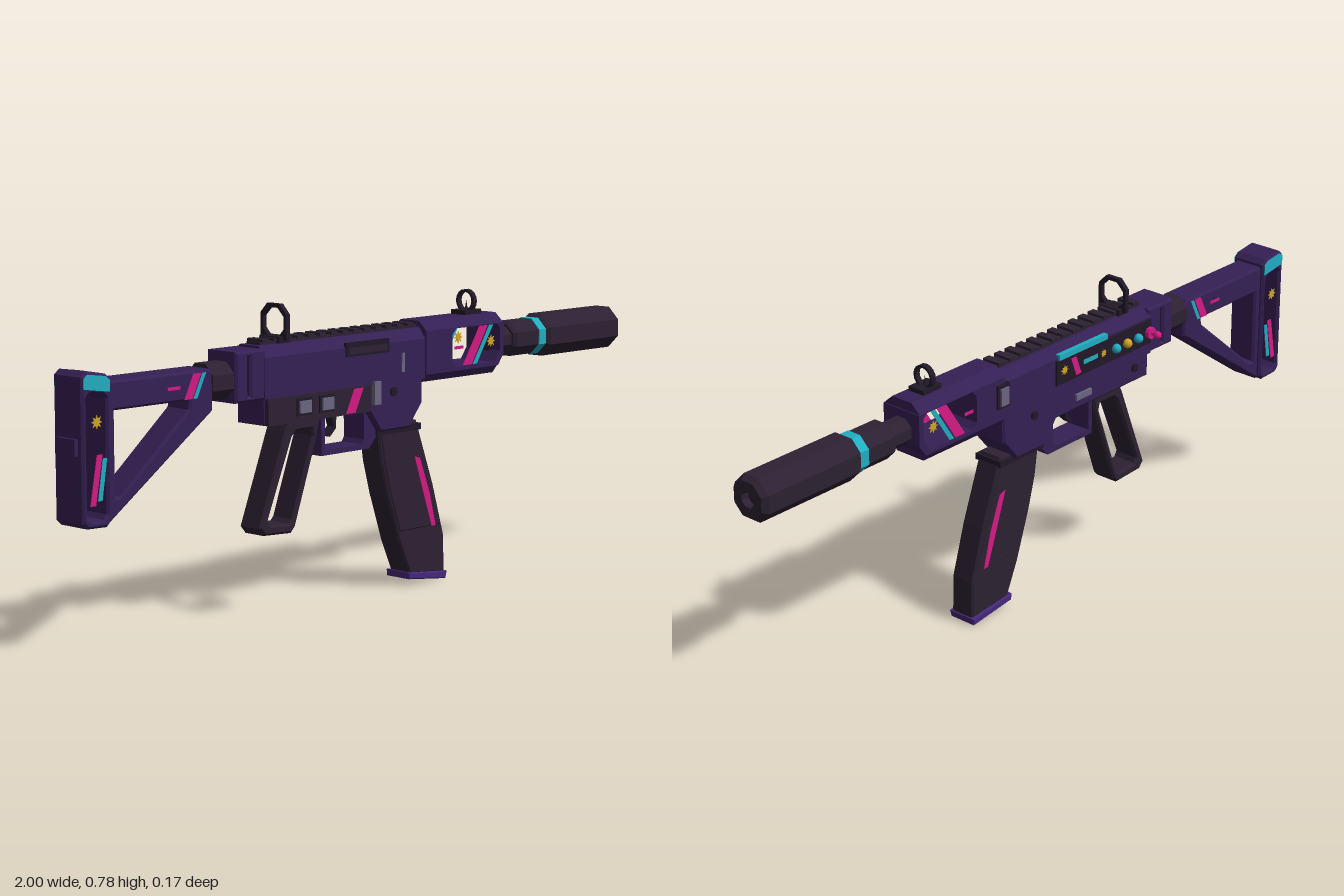
import * as THREE from 'three';

const mat = (name, color) => {
  const m = new THREE.MeshStandardMaterial({ color });
  m.name = name;
  return m;
};

export function createModel() {
  const purple = mat('purple', 0x352054), violet = mat('violet trim', 0x45287a);
  const dark = mat('dark polymer', 0x2c2132), black = mat('black', 0x211928);
  const teal = mat('teal', 0x20adc2), pink = mat('pink', 0xd41a84);
  const yellow = mat('yellow', 0xd0a526), grey = mat('grey', 0x6b6682);

  const root = new THREE.Group();
  root.name = 'toyBlaster';
  const body = new THREE.Group();
  body.name = 'body';
  body.position.z = 0.016; // side knobs make the outline uneven in z
  root.add(body);

  // ---- helpers ----
  const add = (name, geo, material, smooth = false) => {
    if (!smooth) {
      geo = geo.index ? geo.toNonIndexed() : geo;
      geo.computeVertexNormals();
    }
    const m = new THREE.Mesh(geo, material);
    m.name = name;
    body.add(m);
    return m;
  };
  // outlines run anticlockwise and holes clockwise, so all walls face outward
  const vecs = (pts, clockwise) => {
    const v = pts.map(([x, y]) => new THREE.Vector2(x, y));
    return THREE.ShapeUtils.isClockWise(v) === clockwise ? v : v.reverse();
  };
  const shapeOf = (pts, holes) => {
    const s = new THREE.Shape(vecs(pts, false));
    holes.forEach((h) => s.holes.push(new THREE.Path(vecs(h, true))));
    return s;
  };
  // side outline (x, y) given a width in z, with chamfered edges
  const slab = (name, pts, half, material, bevel = 0, holes = [], zc = 0) => {
    const g = new THREE.ExtrudeGeometry(shapeOf(pts, holes), {
      depth: 2 * (half - bevel), bevelEnabled: bevel > 0, bevelThickness: bevel,
      bevelSize: bevel, bevelOffset: -bevel, bevelSegments: 1,
    });
    g.translate(0, 0, zc - half + bevel);
    return add(name, g, material);
  };
  // cross-section (z, y) swept from x0 to x1
  const prism = (name, pts, x0, x1, material, holes = []) => {
    const g = new THREE.ExtrudeGeometry(shapeOf(pts, holes), { depth: x1 - x0, bevelEnabled: false });
    g.rotateY(Math.PI / 2).translate(x0, 0, 0);
    return add(name, g, material);
  };
  const box = (name, x0, x1, y0, y1, z0, z1, material) =>
    add(name, new THREE.BoxGeometry(x1 - x0, y1 - y0, z1 - z0)
      .translate((x0 + x1) / 2, (y0 + y1) / 2, (z0 + z1) / 2), material);
  // eight-sided turned part along x; profile is [x, flat-to-centre radius]
  const turned = (name, profile, material, y = 0.62) => {
    const pts = profile.map(([x, r]) => new THREE.Vector2(r / Math.cos(Math.PI / 8), x));
    const g = new THREE.LatheGeometry(pts, 8);
    g.rotateY(Math.PI / 8).rotateZ(-Math.PI / 2).translate(0, y, 0);
    return add(name, g, material);
  };
  // thin painted plate, on both sides or on one
  const decal = (name, pts, face, material, sides = [1, -1]) =>
    sides.forEach((s) => slab(name, pts, 0.001, material, 0, [], s * (face + 0.0004)));
  const slant = (x, y0, y1, lean, w) => [[x, y0], [x + w, y0], [x + w + lean, y1], [x + lean, y1]];
  const star = (cx, cy, r) => Array.from({ length: 16 }, (_, i) => {
    const a = (i * Math.PI) / 8, k = i % 2 ? r * 0.5 : r;
    return [cx + k * Math.cos(a), cy + k * Math.sin(a)];
  });

  // ---- barrel and muzzle tube ----
  turned('barrel', [[0.47, 0], [0.47, 0.034], [0.57, 0.034], [0.57, 0]], dark);
  turned('barrelCollar', [[0.55, 0], [0.55, 0.04], [0.56, 0.047], [0.65, 0.047], [0.65, 0]], dark);
  turned('muzzleRing', [[0.65, 0], [0.65, 0.049], [0.678, 0.049], [0.678, 0]], teal);
  turned('muzzleTube', [[0.678, 0], [0.678, 0.049], [0.69, 0.057], [0.985, 0.057], [1, 0.046], [1, 0.02], [0.98, 0.018], [0.98, 0]], dark);

  // ---- hand guard with a window through it ----
  slab('handGuard', [[0.18, 0.56], [0.465, 0.56], [0.488, 0.59], [0.488, 0.675], [0.18, 0.675]], 0.06, purple, 0, [
    [[0.282, 0.585], [0.297, 0.57], [0.45, 0.57], [0.473, 0.6], [0.473, 0.66], [0.46, 0.673], [0.297, 0.673], [0.282, 0.658]],
  ]);
  prism('handGuardTop', [[-0.06, 0.675], [0.06, 0.675], [0.032, 0.7], [-0.032, 0.7]], 0.18, 0.485, purple);
  prism('handGuardBottom', [[-0.045, 0.54], [0.045, 0.54], [0.06, 0.56], [-0.06, 0.56]], 0.18, 0.46, purple);
  decal('guardStripe', slant(0.325, 0.572, 0.672, 0.065, 0.034), 0.058, pink);
  decal('guardThinStripe', slant(0.365, 0.572, 0.672, 0.065, 0.015), 0.058, teal);
  decal('guardStar', star(0.437, 0.628, 0.017), 0.058, yellow);
  decal('guardDash', [[0.293, 0.617], [0.325, 0.617], [0.325, 0.625], [0.293, 0.625]], 0.058, pink);

  // ---- upper receiver and rail ----
  prism('upperReceiver', [[-0.055, 0.55], [0.055, 0.55], [0.055, 0.655], [0.034, 0.683], [-0.034, 0.683], [-0.055, 0.655]], -0.405, 0.18, purple);
  slab('rearReceiver', [[-0.5, 0.55], [-0.395, 0.55], [-0.395, 0.677], [-0.5, 0.677]], 0.053, purple, 0.006,
    [[[-0.457, 0.565], [-0.451, 0.565], [-0.451, 0.66], [-0.457, 0.66]]]);
  box('rail', -0.39, 0.18, 0.68, 0.69, -0.024, 0.024, dark);
  for (let i = 0; i < 14; i++) {
    const x = -0.385 + i * 0.0405;
    box('railTooth', x, x + 0.022, 0.688, 0.697, -0.027, 0.027, dark);
  }
  box('ejectionPort', -0.12, 0.04, 0.632, 0.668, 0.05, 0.059, black);
  box('portCover', -0.11, 0.03, 0.638, 0.655, 0.055, 0.061, dark);
  box('receiverMark', 0.09, 0.1, 0.575, 0.625, 0.05, 0.057, grey);

  // ---- lower receiver, magazine well and trigger ----
  slab('lowerReceiver', [[-0.4, 0.56], [-0.4, 0.485], [-0.03, 0.485], [0.015, 0.425], [0.125, 0.425], [0.175, 0.485], [0.175, 0.56]], 0.052, purple, 0.006);
  slab('triggerGuard', [[-0.188, 0.495], [-0.188, 0.384], [-0.012, 0.384], [0.03, 0.43], [0.03, 0.495]], 0.036, purple, 0,
    [[[-0.174, 0.486], [-0.174, 0.398], [-0.04, 0.398], [-0.032, 0.41], [-0.032, 0.486]]]);
  slab('trigger', [[-0.13, 0.49], [-0.118, 0.45], [-0.142, 0.43], [-0.132, 0.425], [-0.11, 0.445], [-0.108, 0.49]], 0.012, black);
  box('sidePlate', -0.4, -0.033, 0.485, 0.553, 0.05, 0.062, dark);
  [-0.295, -0.215].forEach((x) => {
    box('buttonBase', x - 0.007, x + 0.047, 0.5, 0.545, 0.06, 0.065, black);
    box('button', x, x + 0.04, 0.507, 0.538, 0.06, 0.07, grey);
  });
  decal('plateStripe', slant(-0.125, 0.488, 0.55, 0.03, 0.034), 0.062, pink, [1]);
  box('magazineCatch', -0.02, 0.005, 0.5, 0.56, 0.05, 0.064, grey);
  box('rearCatchFrame', 0.165, 0.21, 0.595, 0.66, -0.066, -0.055, black);
  box('rearCatch', 0.173, 0.202, 0.603, 0.65, -0.071, -0.06, grey);
  box('selectorLever', -0.16, -0.1, 0.513, 0.53, -0.059, -0.05, grey);
  [-0.34, 0.06].forEach((x) => {
    const pin = new THREE.CylinderGeometry(0.012, 0.012, 0.116, 8).rotateX(Math.PI / 2).translate(x, 0.527, 0);
    add('pin', pin, black);
  });

  // ---- bead panel on the far side ----
  box('beadPanel', -0.4, -0.02, 0.582, 0.65, -0.06, -0.05, black);
  box('panelStrip', -0.22, -0.03, 0.65, 0.665, -0.061, -0.045, teal);
  decal('panelStar', star(-0.05, 0.618, 0.014), 0.06, yellow, [-1]);
  decal('panelStripe', slant(-0.115, 0.59, 0.642, 0.02, 0.02), 0.06, pink, [-1]);
  decal('panelBand', [[-0.18, 0.61], [-0.125, 0.61], [-0.125, 0.622], [-0.18, 0.622]], 0.06, teal, [-1]);
  decal('panelSmallStar', star(-0.205, 0.615, 0.012), 0.06, yellow, [-1]);
  [teal, yellow, teal].forEach((m, i) => {
    const bead = new THREE.SphereGeometry(0.013, 12, 8).translate(-0.25 - i * 0.045, 0.615, -0.066);
    add('bead', bead, m, true);
  });
  add('knobBase', new THREE.CylinderGeometry(0.016, 0.016, 0.02, 10).rotateX(Math.PI / 2).translate(-0.39, 0.615, -0.062), pink);
  add('knobStem', new THREE.CylinderGeometry(0.005, 0.005, 0.03, 8).rotateX(Math.PI / 2).translate(-0.39, 0.615, -0.078), pink);
  add('knob', new THREE.SphereGeometry(0.011, 12, 8).translate(-0.39, 0.615, -0.09), pink, true);

  // ---- open grip ----
  slab('grip', [[-0.315, 0.46], [-0.3, 0.49], [-0.19, 0.49], [-0.2, 0.44], [-0.28, 0.215], [-0.295, 0.2], [-0.39, 0.205], [-0.407, 0.225]],
    0.038, dark, 0.006, [[[-0.29, 0.445], [-0.275, 0.458], [-0.222, 0.458], [-0.218, 0.44], [-0.293, 0.235], [-0.303, 0.225], [-0.368, 0.23], [-0.375, 0.243]]]);

  // ---- magazine ----
  slab('magazine', [[0.02, 0.44], [0.035, 0.34], [0.06, 0.25], [0.105, 0.12], [0.145, 0.03], [0.282, 0.018], [0.279, 0.12], [0.237, 0.26], [0.17, 0.44]], 0.036, dark, 0.005);
  slab('magazineSleeve', [[0.03, 0.43], [0.044, 0.34], [0.069, 0.25], [0.103, 0.15], [0.262, 0.15], [0.229, 0.26], [0.165, 0.43]], 0.039, dark, 0.003);
  slab('magazineCollar', [[0.012, 0.415], [0.178, 0.415], [0.178, 0.432], [0.012, 0.432]], 0.043, black);
  slab('magazineFoot', [[0.135, 0.036], [0.136, 0.018], [0.28, 0], [0.286, 0.02]], 0.042, violet, 0.003);
  decal('magazineStripe', [[0.157, 0.345], [0.178, 0.338], [0.216, 0.24], [0.24, 0.15], [0.225, 0.15], [0.193, 0.24]], 0.039, pink);

  // ---- stock ----
  turned('stockNeck', [[-0.57, 0], [-0.57, 0.046], [-0.5, 0.046], [-0.5, 0]], dark, 0.606);
  slab('stockArm', [[-0.91, 0.643], [-0.575, 0.643], [-0.565, 0.633], [-0.565, 0.54], [-0.9, 0.305], [-0.91, 0.305]], 0.042, purple, 0.006,
    [[[-0.88, 0.572], [-0.64, 0.572], [-0.645, 0.55], [-0.865, 0.365], [-0.88, 0.365]]]);
  slab('stockButt', [[-0.99, 0.315], [-0.975, 0.302], [-0.915, 0.3], [-0.9, 0.315], [-0.9, 0.65], [-0.915, 0.663], [-0.975, 0.672], [-0.99, 0.66]], 0.052, purple, 0.006,
    [[[-0.975, 0.33], [-0.96, 0.318], [-0.925, 0.318], [-0.915, 0.33], [-0.915, 0.605], [-0.925, 0.615], [-0.965, 0.62], [-0.975, 0.61]]]);
  decal('buttCap', [[-0.985, 0.632], [-0.905, 0.62], [-0.905, 0.648], [-0.918, 0.658], [-0.973, 0.666], [-0.985, 0.657]], 0.052, teal);
  box('buttBump', -1, -0.985, 0.475, 0.515, -0.035, 0.035, purple);
  decal('buttStar', star(-0.945, 0.552, 0.017), 0.05, yellow);
  decal('buttStripe', slant(-0.968, 0.355, 0.475, 0.022, 0.017), 0.05, pink);
  decal('buttThinStripe', slant(-0.944, 0.365, 0.465, 0.016, 0.013), 0.05, teal);
  decal('armStripe', slant(-0.662, 0.575, 0.636, 0.03, 0.026), 0.042, pink);
  decal('armThinStripe', slant(-0.632, 0.575, 0.636, 0.03, 0.012), 0.042, teal);
  decal('armDash', [[-0.715, 0.602], [-0.675, 0.602], [-0.675, 0.61], [-0.715, 0.61]], 0.042, pink);

  // ---- sights ----
  const ring = (r, n, cy, turn = 0) => Array.from({ length: n }, (_, i) => {
    const a = turn + (i * 2 * Math.PI) / n;
    return [r * Math.cos(a), cy + r * Math.sin(a)];
  });
  prism('rearSight', [[-0.046, 0.69], [0.046, 0.69], [0.046, 0.755], [0.022, 0.78], [-0.022, 0.78], [-0.046, 0.755]], -0.321, -0.308, black,
    [ring(0.04, 8, 0.733, Math.PI / 8)]);
  box('rearSightBase', -0.335, -0.295, 0.683, 0.7, -0.035, 0.035, black);
  box('frontSightBase', 0.37, 0.435, 0.697, 0.712, -0.025, 0.025, black);
  prism('frontSight', ring(0.031, 16, 0.735), 0.396, 0.411, black, [ring(0.024, 16, 0.735)]);
  add('frontSightPost', new THREE.ConeGeometry(0.005, 0.03, 6).translate(0.403, 0.722, 0), black);

  return root;
}
